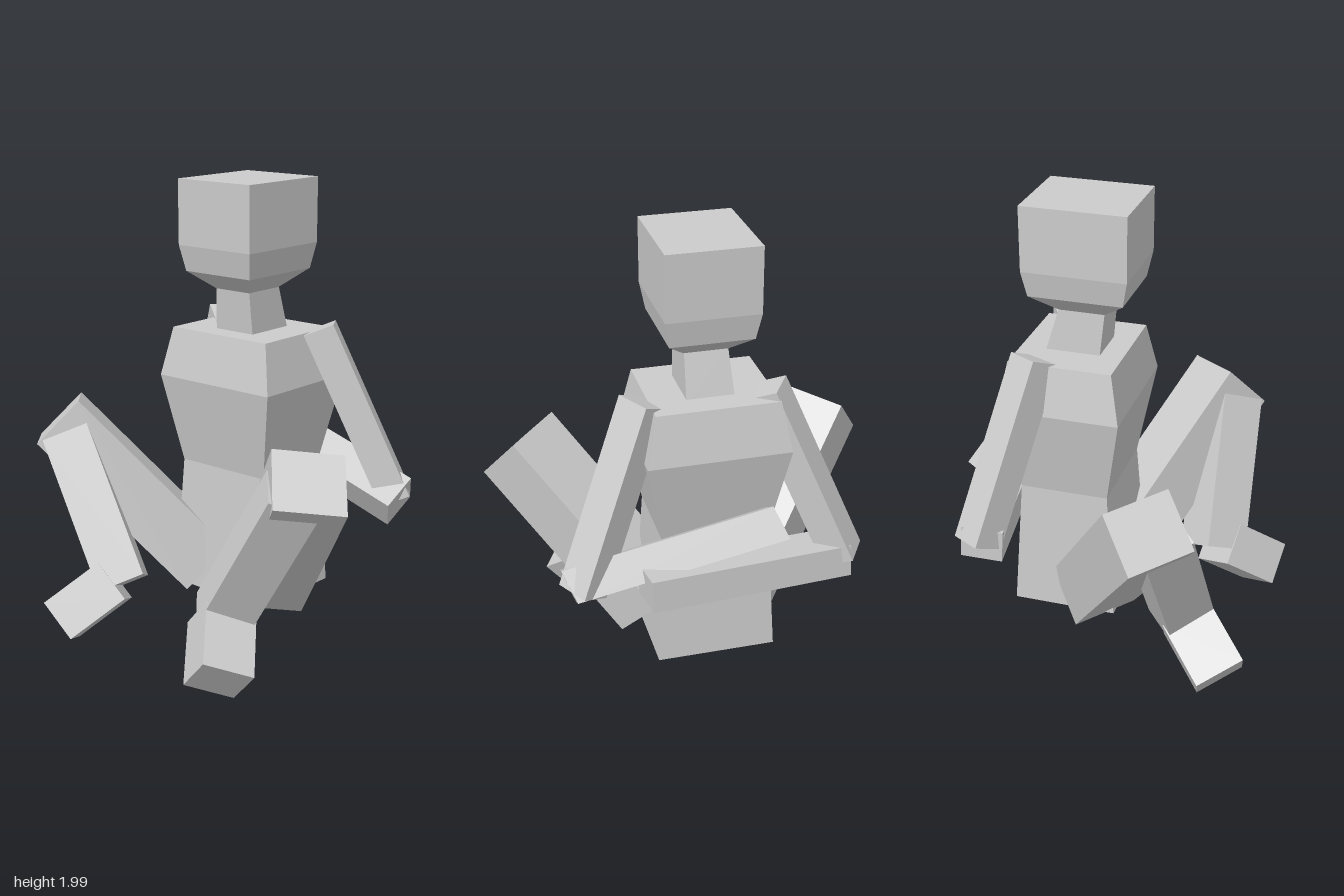
import * as THREE from 'three';

const material = new THREE.MeshStandardMaterial({ color: 0xcccccc, flatShading: true });

function addMesh(parent, name, geometry) {
  const flat = geometry.toNonIndexed();
  flat.computeVertexNormals();
  const mesh = new THREE.Mesh(flat, material);
  mesh.name = name;
  parent.add(mesh);
}

// Stacked rectangular sections, bottom to top: [y, xMin, xMax, zMin, zMax]
function addStack(parent, name, sections) {
  const n = sections.length - 1;
  const geometry = new THREE.BoxGeometry(1, 1, 1, 1, n, 1);
  const p = geometry.attributes.position;
  for (let i = 0; i < p.count; i++) {
    const [y, x0, x1, z0, z1] = sections[Math.round((p.getY(i) + 0.5) * n)];
    p.setXYZ(i, p.getX(i) > 0 ? x1 : x0, y, p.getZ(i) > 0 ? z1 : z0);
  }
  addMesh(parent, name, geometry);
}

// Slanted block from one corner and its three edge vectors.
// side = -1 mirrors it in z, with an optional shift of the mirrored copy.
function addBlock(parent, name, corner, edges, side = 1, shift = 0) {
  const flip = ([x, y, z]) => new THREE.Vector3(x, y, z * side);
  const origin = flip(corner);
  if (side < 0) origin.z += shift;
  const matrix = new THREE.Matrix4().makeBasis(...edges.map(flip));
  if (matrix.determinant() < 0) {
    const [a, b, c] = edges.map(flip);
    matrix.makeBasis(b, a, c);
  }
  matrix.setPosition(origin);
  const geometry = new THREE.BoxGeometry(1, 1, 1).translate(0.5, 0.5, 0.5);
  addMesh(parent, name, geometry.applyMatrix4(matrix));
}

export function createModel() {
  const model = new THREE.Group();
  model.name = 'seatedFigure';

  // Trunk, neck and head
  addStack(model, 'torso', [
    [0.2, -0.035, 0.415, -0.26, 0.245],
    [0.765, 0, 0.38, -0.235, 0.215],
    [1.15, -0.07, 0.453, -0.305, 0.29],
    [1.36, -0.03, 0.41, -0.265, 0.245],
  ]);
  addStack(model, 'neck', [
    [1.34, 0.07, 0.305, -0.105, 0.095],
    [1.545, 0.05, 0.245, -0.09, 0.09],
  ]);
  addStack(model, 'head', [
    [1.537, 0.05, 0.245, -0.09, 0.09],
    [1.615, -0.05, 0.35, -0.17, 0.175],
    [1.725, -0.073, 0.37, -0.19, 0.195],
    [2, -0.075, 0.37, -0.19, 0.195],
  ]);

  // Legs and upper arms, in mirrored pairs
  for (const [label, side] of [['left', 1], ['right', -1]]) {
    addBlock(model, label + 'Thigh', [-0.28, 0.825, 0.855],
      [[0.14, 0.185, -0.12], [-0.205, 0.035, -0.2], [0.392, -0.66, -0.515]], side);
    addBlock(model, label + 'Shin', [-0.345, 0.195, 0.4],
      [[-0.155, 0.085, -0.12], [0.145, 0.07, -0.125], [0.024, 0.6, 0.348]], side);
    addBlock(model, label + 'Foot', [-0.655, 0.23, 0.455],
      [[0.165, -0.08, 0.122], [0.028, -0.14, -0.13], [0.186, 0.165, -0.144]], side);
    addBlock(model, label + 'UpperArm', [0.275, 1.405, 0.36],
      [[0.125, -0.01, -0.08], [-0.07, -0.05, -0.1], [0.165, -0.73, 0.298]], side, 0.035);
  }

  // Forearms, folded across each other
  addBlock(model, 'leftForearm', [0.54, 0.965, -0.2],
    [[0.075, -0.115, -0.05], [-0.145, -0.09, -0.015], [-0.08, -0.215, 0.85]]);
  addBlock(model, 'rightForearm', [0.365, 0.567, -0.53],
    [[0.175, 0.012, -0.02], [-0.008, 0.138, 0.003], [0.115, 0.042, 0.87]]);

  return model;
}
